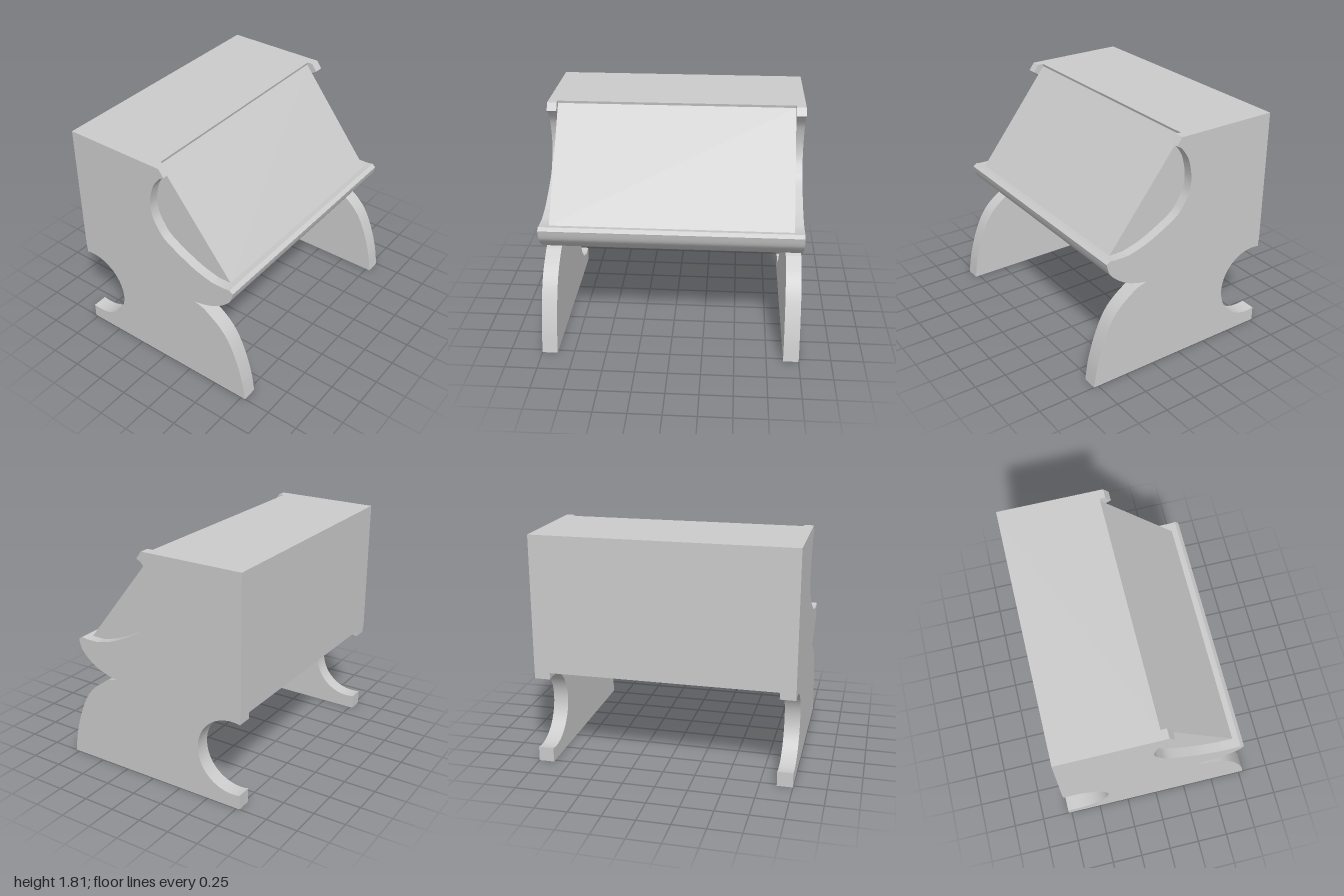
import * as THREE from 'three';
import { toCreasedNormals } from 'three/addons/utils/BufferGeometryUtils.js';

const vectors = (pts) => pts.map(([z, y]) => new THREE.Vector2(z, y));

// Extrudes a (z, y) side profile across the width from x0 to x1.
function slab(name, shape, x0, x1, material) {
  const geometry = new THREE.ExtrudeGeometry(shape, { depth: x1 - x0, bevelEnabled: false, curveSegments: 24 });
  geometry.rotateY(-Math.PI / 2);
  geometry.translate(x1, 0, 0);
  const mesh = new THREE.Mesh(toCreasedNormals(geometry, 0.5), material);
  mesh.name = name;
  return mesh;
}

// Back, underside and rounded front roll shared by the body and the cheeks.
function startProfile() {
  const s = new THREE.Shape();
  s.moveTo(-0.78, 1.81);
  s.lineTo(-0.78, 0.745);
  s.lineTo(0.325, 0.75);
  s.splineThru(vectors([[0.4, 0.765], [0.5, 0.8], [0.59, 0.86], [0.65, 0.925], [0.675, 1.005]]));
  s.lineTo(0.645, 1.027);
  s.lineTo(0.6, 1.02);
  return s;
}

// Central case with the slanted writing lid.
function bodyShape() {
  const s = startProfile();
  s.lineTo(-0.004, 1.79);
  s.lineTo(0, 1.81);
  s.closePath();
  return s;
}

// Side cheek with a scooped front and a small beak at the top.
function cheekShape() {
  const s = startProfile();
  s.lineTo(0.49, 1.02);
  s.splineThru(vectors([[0.36, 1.055], [0.235, 1.11], [0.07, 1.205], [0, 1.29], [-0.043, 1.38],
    [-0.053, 1.49], [-0.02, 1.63], [0.043, 1.725]]));
  s.lineTo(0.087, 1.753);
  s.lineTo(0.045, 1.81);
  s.closePath();
  return s;
}

// Leg with a swept front and a round bite out of the back.
function legShape() {
  const s = new THREE.Shape();
  s.moveTo(-0.775, 0);
  s.lineTo(0.785, 0);
  s.splineThru(vectors([[0.755, 0.18], [0.7, 0.365], [0.63, 0.52], [0.545, 0.625], [0.41, 0.725]]));
  s.lineTo(0.325, 0.75);
  s.lineTo(-0.775, 0.75);
  s.lineTo(-0.775, 0.694);
  const a = Math.acos(-0.065 / 0.295);
  s.absarc(-0.71, 0.403, 0.295, a, -a, true);
  s.closePath();
  return s;
}

export function createModel() {
  const group = new THREE.Group();
  group.name = 'slantFrontDesk';
  const material = new THREE.MeshStandardMaterial({ color: 0xcccccc });

  group.add(slab('caseWithLid', bodyShape(), -0.925, 0.925, material));
  for (const [side, sign] of [['left', 1], ['right', -1]]) {
    const span = (a, b) => (sign > 0 ? [a, b] : [-b, -a]);
    group.add(slab(side + 'Cheek', cheekShape(), ...span(0.925, 1), material));
    group.add(slab(side + 'Leg', legShape(), ...span(0.88, 1), material));
  }
  return group;
}
